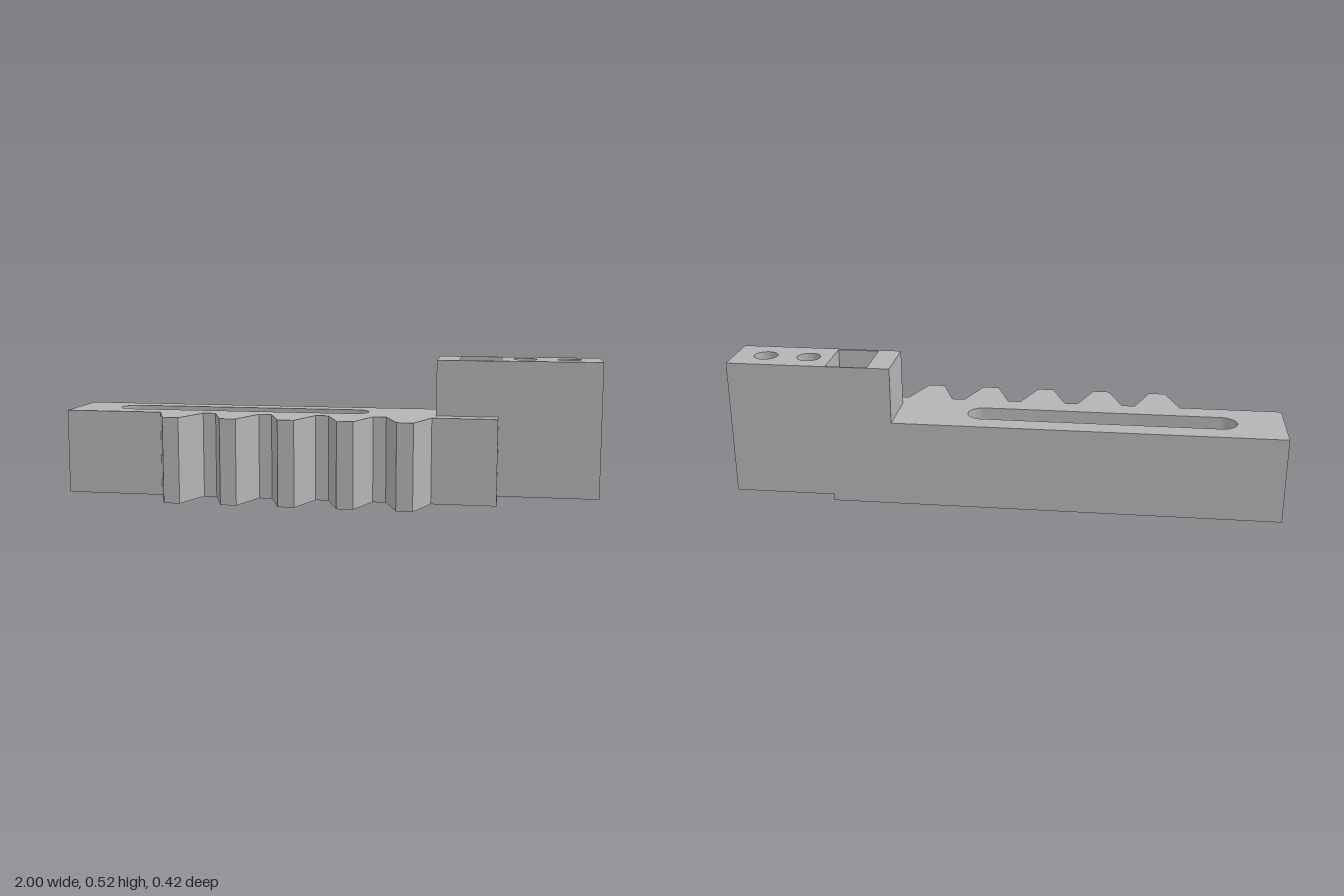
import * as THREE from 'three';
import { toCreasedNormals } from 'three/addons/utils/BufferGeometryUtils.js';

// Closed outline from [x, z] points; plan depth z is stored as -y
const outline = (pts, Type = THREE.Shape) => new Type(pts.map(([x, z]) => new THREE.Vector2(x, -z)));
const rect = (x0, x1, z0, z1) => [[x0, z1], [x1, z1], [x1, z0], [x0, z0]];

// Raises a plan shape from y0 to y1
function raise(shape, y0, y1) {
  const geo = new THREE.ExtrudeGeometry(shape, { depth: y1 - y0, bevelEnabled: false, curveSegments: 20 });
  geo.rotateX(-Math.PI / 2).translate(0, y0, 0);
  return toCreasedNormals(geo, 0.6);
}

export function createModel() {
  const model = new THREE.Group();
  model.name = 'gearRack';
  const grey = new THREE.MeshStandardMaterial({ color: 0xb4b4b4 });
  grey.name = 'plain grey';

  const add = (name, geo) => {
    const mesh = new THREE.Mesh(geo, grey);
    mesh.name = name;
    model.add(mesh);
  };

  const back = -0.208, face = 0.065, tip = 0.209, rackTop = 0.318;

  // Toothed bar, with five trapezoid teeth along the front
  const bar = [[-1, back], [-1, face]];
  for (let i = 0; i < 5; i++) {
    const x = -0.546 + i * 0.2143;
    bar.push([x - 0.083, face], [x - 0.03, tip], [x + 0.03, tip], [x + 0.083, face]);
  }
  bar.push([0.632, face], [0.632, back]);
  const barShape = outline(bar);

  // Long rounded slot through the bar
  const slot = new THREE.Path();
  const r = 0.056, slotY = 0.074;
  slot.absarc(0.09, slotY, r, -Math.PI / 2, Math.PI / 2, false);
  slot.absarc(-0.774, slotY, r, Math.PI / 2, Math.PI * 1.5, false);
  slot.closePath();
  barShape.holes.push(slot);
  add('toothedBar', raise(barShape, 0, rackTop));

  // End block: solid base, then an upper part with a pocket and two screw holes
  const blockPlan = rect(0.405, 1, back, 0);
  add('endBlockBase', raise(outline(blockPlan), 0.024, rackTop));
  const upper = outline(blockPlan);
  upper.holes.push(outline(rect(0.487, 0.638, -0.202, -0.012), THREE.Path));
  for (const x of [0.724, 0.884]) {
    upper.holes.push(new THREE.Path().absarc(x, 0.107, 0.043, 0, Math.PI * 2, false));
  }
  add('endBlockTop', raise(upper, rackTop, 0.523));

  return model;
}
